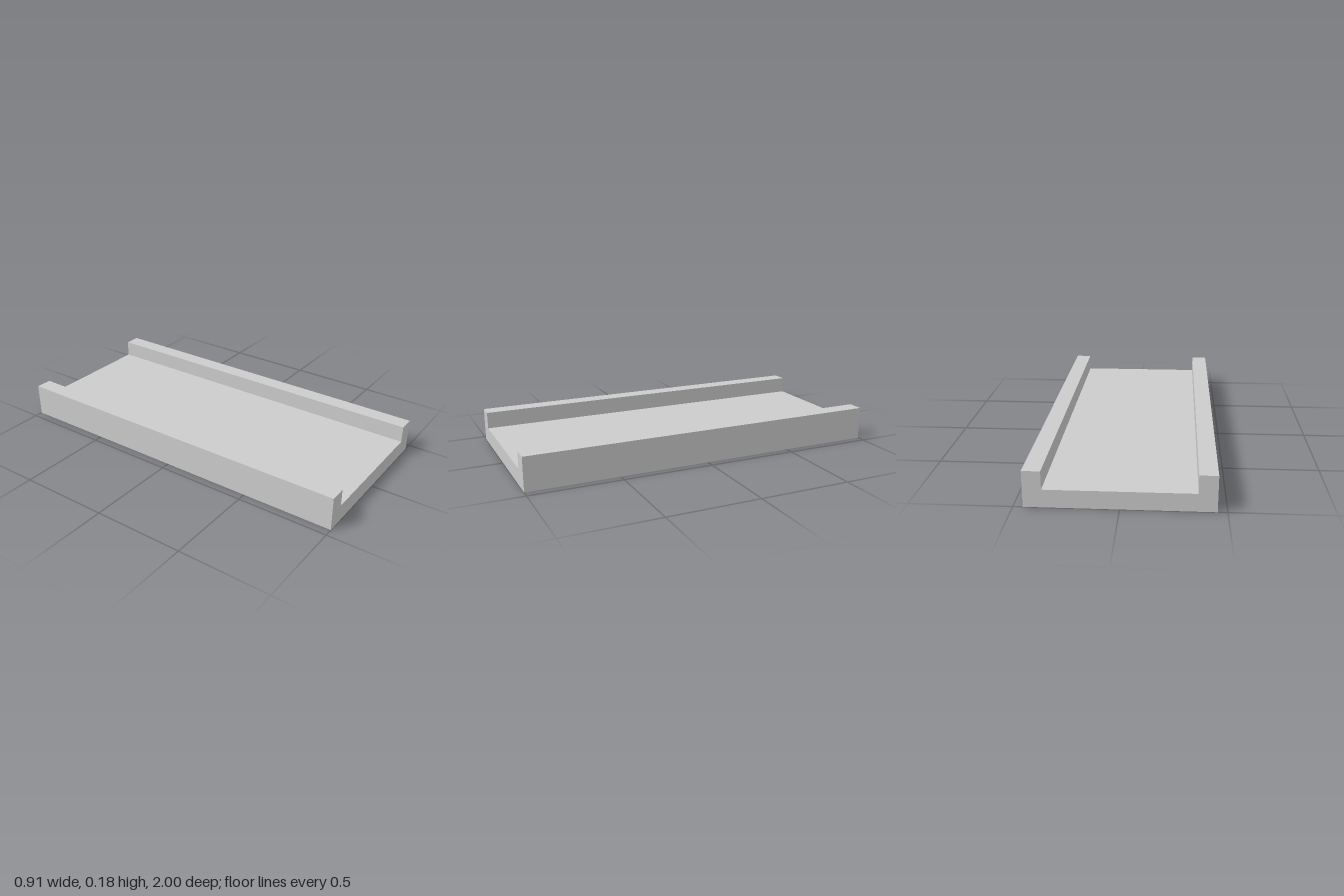
import * as THREE from 'three';

const LENGTH = 2;
const OUT = 0.453, IN = 0.363;   // outer and inner faces of the side rails
const TOP = 0.183, DECK = 0.091; // rail and deck heights

export function createModel() {
  const group = new THREE.Group();
  group.name = 'channelTray';
  const material = new THREE.MeshStandardMaterial({
    color: 0xcccccc, flatShading: true, side: THREE.DoubleSide,
  });

  const add = (name, geometry) => {
    const mesh = new THREE.Mesh(geometry, material);
    mesh.name = name;
    group.add(mesh);
    return mesh;
  };

  // U-shaped profile from the right foot over to the left foot; the underside stays open
  const profile = [
    [-OUT, 0], [-OUT, TOP], [-IN, TOP], [-IN, DECK],
    [IN, DECK], [IN, TOP], [OUT, TOP], [OUT, 0],
  ].map(([x, y]) => new THREE.Vector2(x, y));

  // One long panel per profile segment, facing outwards
  const names = [
    'rightOuterWall', 'rightRailTop', 'rightInnerWall', 'deck',
    'leftInnerWall', 'leftRailTop', 'leftOuterWall',
  ];
  names.forEach((name, i) => {
    const a = profile[i], b = profile[i + 1];
    const panel = new THREE.PlaneGeometry(a.distanceTo(b), LENGTH);
    panel.rotateX(-Math.PI / 2);
    panel.rotateZ(Math.atan2(b.y - a.y, b.x - a.x));
    panel.translate((a.x + b.x) / 2, (a.y + b.y) / 2, 0);
    add(name, panel);
  });

  // End walls closing the front and back
  const endShape = new THREE.Shape(profile);
  add('frontEnd', new THREE.ShapeGeometry(endShape)).position.z = LENGTH / 2;
  const back = add('backEnd', new THREE.ShapeGeometry(endShape));
  back.rotation.y = Math.PI;
  back.position.z = -LENGTH / 2;

  return group;
}
